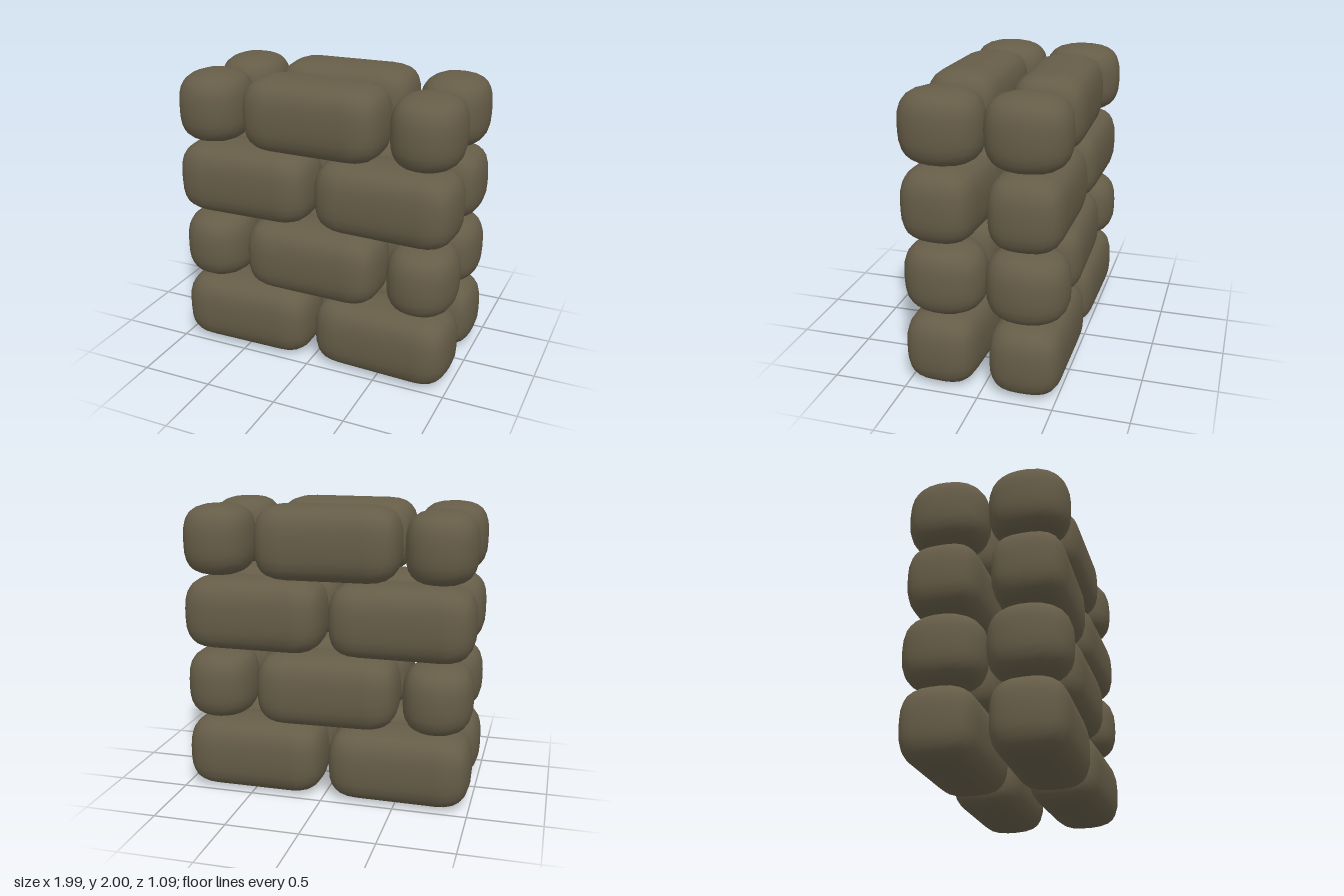
import * as THREE from 'three';
import { mergeVertices } from 'three/addons/utils/BufferGeometryUtils.js';

// Pillow-shaped bag: a gridded cube pushed onto a superellipsoid, then its two
// halves are slid apart along x. q sets how square it is seen from above.
function bagGeometry(width, height, depth, q, p, capHalf) {
  let geo = new THREE.BoxGeometry(2, 2, 2, 7, 7, 7);
  geo.deleteAttribute('uv');
  geo.deleteAttribute('normal');
  geo = mergeVertices(geo);
  const pos = geo.attributes.position;
  const slide = width / 2 - capHalf;
  for (let i = 0; i < pos.count; i++) {
    const x = pos.getX(i), y = pos.getY(i), z = pos.getZ(i);
    const h = Math.pow(Math.abs(x) ** q + Math.abs(z) ** q, 1 / q);
    const n = Math.pow(h ** p + Math.abs(y) ** p, 1 / p);
    pos.setXYZ(i,
      (x / n) * capHalf + Math.sign(x) * slide,
      (y / n) * height / 2,
      (z / n) * depth / 2);
  }
  geo.computeVertexNormals();
  return geo;
}

export function createModel() {
  const wall = new THREE.Group();
  wall.name = 'sandbagWall';
  const burlap = new THREE.MeshStandardMaterial({ color: 0x665d48 });
  burlap.name = 'burlap';

  const longBag = bagGeometry(0.975, 0.5, 0.49, 3.1, 3.1, 0.25);
  const shortBag = bagGeometry(0.47, 0.475, 0.545, 2.25, 3.1, 0.235);

  function addBag(name, geo, x, y, z, turn = 0) {
    const bag = new THREE.Mesh(geo, burlap);
    bag.name = name;
    bag.position.set(x, y, z);
    bag.rotation.y = turn;
    wall.add(bag);
  }

  // Two pairs of courses, repeated upward
  for (const base of [0, 1]) {
    // Lower course: two long bags in each row
    addBag('longBagFrontRight', longBag, -0.51, base + 0.25, 0.275, 0.01);
    addBag('longBagFrontLeft', longBag, 0.505, base + 0.25, 0.275, -0.045);
    addBag('longBagBackRight', longBag, -0.51, base + 0.25, -0.28, -0.01);
    addBag('longBagBackLeft', longBag, 0.505, base + 0.25, -0.28, 0);

    // Upper course: one long bag between two short ones in each row
    addBag('longBagFrontMiddle', longBag, -0.005, base + 0.75, 0.28, -0.02);
    addBag('longBagBackMiddle', longBag, -0.005, base + 0.75, -0.28, 0.03);
    for (const side of [-1, 1]) {
      const label = side < 0 ? 'Right' : 'Left';
      addBag('shortBagFront' + label, shortBag, side * 0.76, base + 0.75, 0.272);
      addBag('shortBagBack' + label, shortBag, side * 0.76, base + 0.75, -0.28);
    }
  }
  return wall;
}
